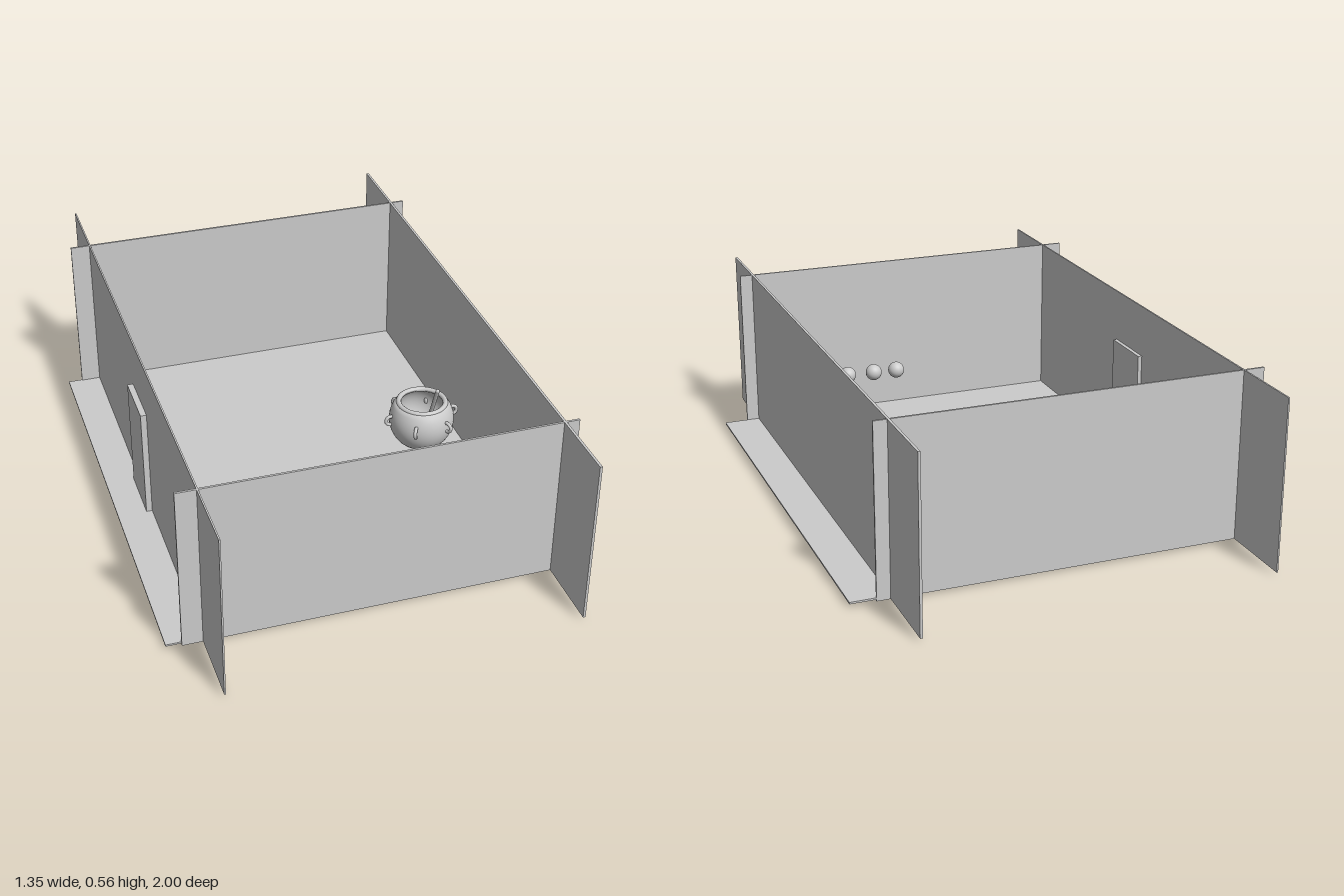
import * as THREE from 'three';

export function createModel() {
  const model = new THREE.Group();
  const grey = new THREE.MeshStandardMaterial({ color: 0xcccccc });
  const doubleGrey = new THREE.MeshStandardMaterial({ color: 0xcccccc, side: THREE.DoubleSide });

  const add = (parent, name, geometry, x = 0, y = 0, z = 0, material = grey) => {
    const mesh = new THREE.Mesh(geometry, material);
    mesh.name = name;
    mesh.position.set(x, y, z);
    parent.add(mesh);
    return mesh;
  };
  // Box given by its minimum and maximum on each axis
  const slab = (name, [x0, x1], [y0, y1], [z0, z1]) =>
    add(model, name, new THREE.BoxGeometry(x1 - x0, y1 - y0, z1 - z0),
      (x0 + x1) / 2, (y0 + y1) / 2, (z0 + z1) / 2);

  // Room: floor, crossing walls and a door through the right wall
  slab('floor', [-0.675, 0.675], [0.012, 0.018], [-0.745, 0.757]);
  slab('leftWall', [0.545, 0.553], [0.008, 0.557], [-1, 1]);
  slab('rightWall', [-0.563, -0.558], [0.008, 0.557], [-1, 1]);
  slab('frontWall', [-0.627, 0.595], [0.008, 0.557], [0.756, 0.763]);
  slab('backWall', [-0.627, 0.595], [0.008, 0.557], [-0.748, -0.741]);
  slab('door', [-0.582, -0.545], [0, 0.388], [-0.085, 0.106]);

  // Row of floating balls
  [[0.113, 0.495], [0.195, 0.498], [0.288, 0.503], [0.378, 0.508]].forEach(([x, z]) =>
    add(model, 'ball', new THREE.SphereGeometry(0.028, 24, 16), x, 0.235, z));

  // Round pot, with its hollow inside
  const pot = new THREE.Group();
  pot.name = 'pot';
  pot.position.set(0.4, 0.125, 0.008);
  model.add(pot);
  const profile = [];
  const steps = 16;
  const arc = (r, from, to) => {
    for (let i = 0; i <= steps; i++) {
      const a = from + ((to - from) * i) / steps;
      profile.push(new THREE.Vector2(r * Math.cos(a), r * Math.sin(a)));
    }
  };
  arc(0.11, -Math.PI / 2, 0.63);
  arc(0.095, 0.75, -Math.PI / 2);
  add(pot, 'potBody', new THREE.LatheGeometry(profile, 40), 0, 0, 0, doubleGrey);
  const rim = add(pot, 'potRim', new THREE.TorusGeometry(0.079, 0.009, 10, 40), 0, 0.064, 0);
  rim.rotation.x = Math.PI / 2;

  // Six upright rings around the pot
  for (let i = 0; i < 6; i++) {
    const a = (i * Math.PI) / 3;
    const ring = add(pot, 'potRing', new THREE.TorusGeometry(0.016, 0.006, 10, 20),
      0.111 * Math.cos(a), 0.01, -0.111 * Math.sin(a));
    ring.rotation.y = a;
  }

  // Leaning stirring stick
  const path = new THREE.LineCurve3(new THREE.Vector3(0.025, -0.01, 0.005), new THREE.Vector3(0.025, 0.145, 0.072));
  add(pot, 'stirringStick', new THREE.TubeGeometry(path, 1, 0.007, 12), 0, 0, 0, doubleGrey);
  const tip = path.getPoint(1);
  add(pot, 'stickTip', new THREE.SphereGeometry(0.007, 12, 8), tip.x, tip.y, tip.z);

  return model;
}
